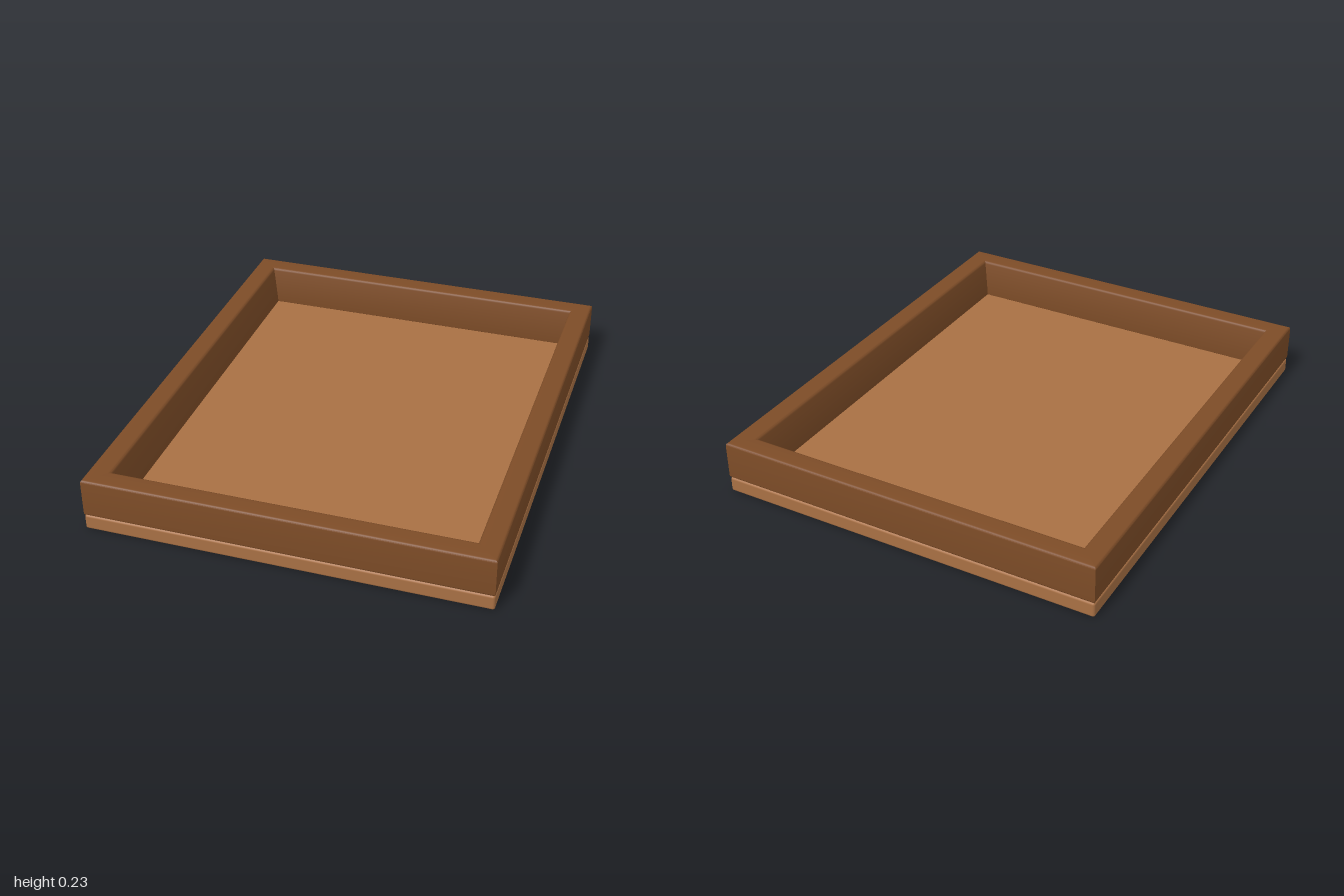
import * as THREE from 'three';
import { toCreasedNormals } from 'three/addons/utils/BufferGeometryUtils.js';
import { RoundedBoxGeometry } from 'three/addons/geometries/RoundedBoxGeometry.js';

const HALF_W = 0.825, HALF_D = 1, BOARD_H = 0.065, TOP = 0.23;

// Rail cross-section: x = 0 is the outer face, negative x runs inwards
function railProfile() {
  const corners = [[0, BOARD_H], [0, TOP], [-0.09, TOP], [-0.118, BOARD_H]].map(c => new THREE.Vector2(...c));
  const radii = [0.01, 0.012, 0.012, 0.002];
  const shape = new THREE.Shape();
  corners.forEach((c, i) => {
    const towards = p => c.clone().add(p.clone().sub(c).setLength(radii[i]));
    const a = towards(corners[(i + 3) % 4]), b = towards(corners[(i + 1) % 4]);
    if (i === 0) shape.moveTo(a.x, a.y);
    else shape.lineTo(a.x, a.y);
    shape.quadraticCurveTo(c.x, c.y, b.x, b.y);
  });
  shape.closePath();
  return shape;
}

// Straight rail whose ends are cut at 45 degrees
function mitredRail(offset, halfLength) {
  const geo = new THREE.ExtrudeGeometry(railProfile(), { depth: 2, bevelEnabled: false, curveSegments: 5 });
  const pos = geo.attributes.position;
  for (let i = 0; i < pos.count; i++) {
    const x = pos.getX(i);
    const side = pos.getZ(i) > 1 ? 1 : -1;
    pos.setX(i, offset + x);
    pos.setZ(i, side * (halfLength + x));
  }
  return toCreasedNormals(geo, 0.6);
}

export function createModel() {
  const model = new THREE.Group();
  model.name = 'tray';
  const darkWood = new THREE.MeshStandardMaterial({ color: 0x7d4c27 });
  const lightWood = new THREE.MeshStandardMaterial({ color: 0xa87044 });

  // Base board
  const board = new THREE.Mesh(new RoundedBoxGeometry(HALF_W * 2, BOARD_H, HALF_D * 2, 3, 0.01), lightWood);
  board.position.y = BOARD_H / 2;
  board.name = 'baseBoard';
  model.add(board);

  // Four mitred rails around the rim
  const frame = new THREE.Group();
  frame.name = 'frame';
  ['leftRail', 'backRail', 'rightRail', 'frontRail'].forEach((name, i) => {
    const geo = i % 2 ? mitredRail(HALF_D, HALF_W) : mitredRail(HALF_W, HALF_D);
    const rail = new THREE.Mesh(geo, darkWood);
    rail.rotation.y = i * Math.PI / 2;
    rail.name = name;
    frame.add(rail);
  });
  model.add(frame);
  return model;
}
